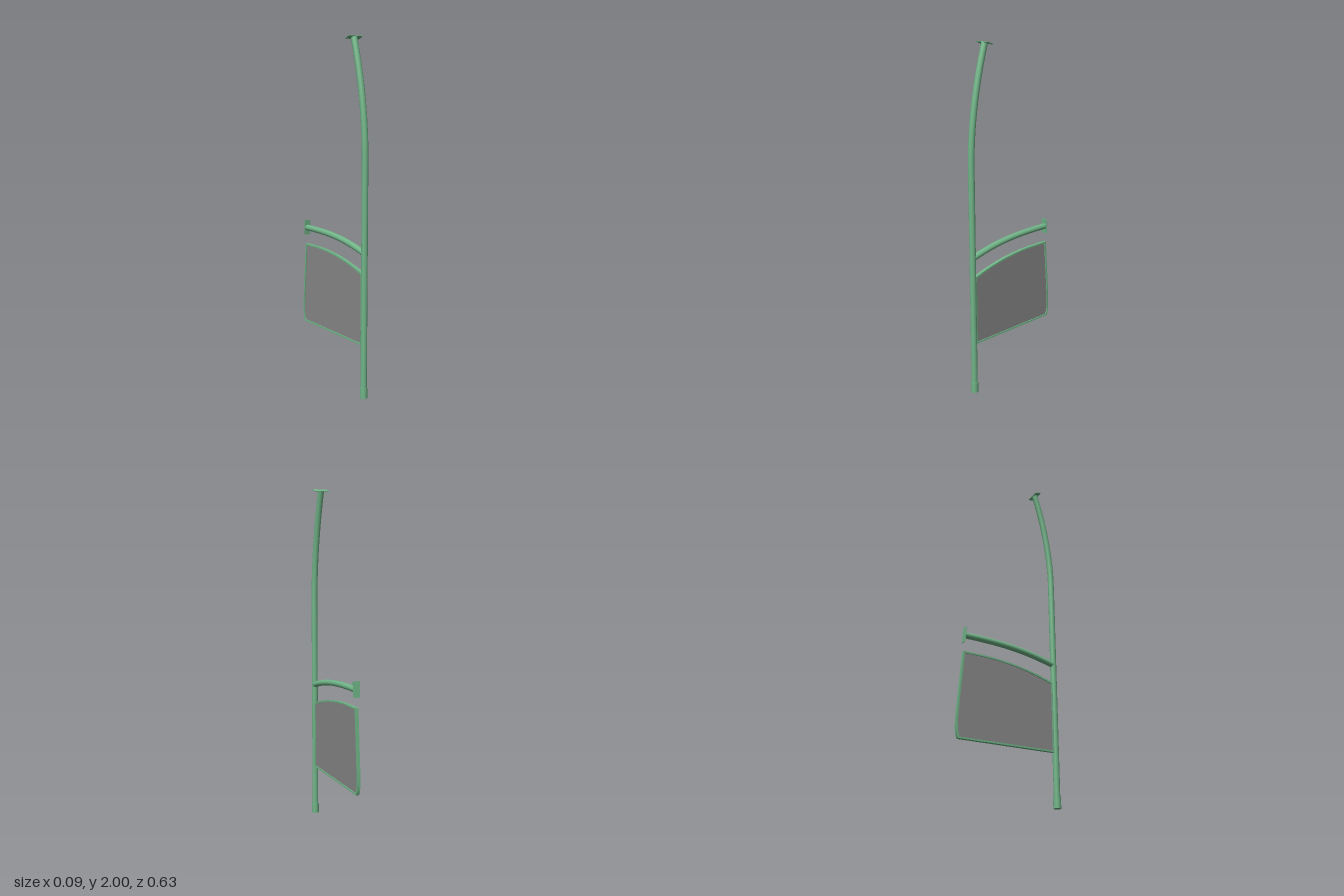
import * as THREE from 'three';

const POLE_Z = 0.295;
const POLE_R = 0.018;

export function createModel() {
  const group = new THREE.Group();
  const green = new THREE.MeshStandardMaterial({ color: 0x70b487 });
  const glass = new THREE.MeshStandardMaterial({ color: 0x888888 });

  function add(name, geometry, material = green) {
    const mesh = new THREE.Mesh(geometry, material);
    mesh.name = name;
    group.add(mesh);
    return mesh;
  }
  const v = (z, y) => new THREE.Vector3(0, y, z);

  // Upright pole: straight below, bending backwards at the top
  const bendStart = v(POLE_Z, 1.34), top = v(0.19, 1.992);
  const polePath = new THREE.CurvePath();
  polePath.add(new THREE.LineCurve3(v(POLE_Z, 0.01), bendStart));
  polePath.add(new THREE.QuadraticBezierCurve3(bendStart, v(POLE_Z, 1.65), top));
  add('pole', new THREE.TubeGeometry(polePath, 48, POLE_R, 20));

  // Foot collar
  add('footCollar', new THREE.CylinderGeometry(0.0215, 0.0215, 0.06, 24)).position.set(0, 0.03, POLE_Z);

  // Ceiling plate, square to the end of the pole
  const topPlate = add('topPlate', new THREE.BoxGeometry(0.092, 0.003, 0.042));
  topPlate.position.copy(top);
  topPlate.rotation.x = -0.31;

  // Curved handrail with its wall plate
  const railPath = new THREE.CubicBezierCurve3(
    v(POLE_Z, 0.828), v(0.12, 0.88), v(-0.03, 0.898), v(-0.281, 0.897));
  add('handrail', new THREE.TubeGeometry(railPath, 32, 0.0175, 20));
  const wallPlate = add('wallPlate', new THREE.BoxGeometry(0.042, 0.091, 0.003));
  wallPlate.position.set(0, 0.899, -0.283);
  wallPlate.rotation.x = 0.06;

  // Panel outline, drawn with shape x = -z and shape y = y; inset d narrows it
  function outline(d, Type = THREE.Shape) {
    const s = new Type();
    s.moveTo(-0.283 + d, 0.305 + d);
    s.lineTo(0.305 - d, 0.305 + d);
    s.quadraticCurveTo(0.316 - d, 0.325 + d, 0.318 - d, 0.36);
    s.quadraticCurveTo(0.32 - d, 0.42, 0.314 - d, 0.48);
    s.lineTo(0.289 - d, 0.798 - d);
    s.lineTo(0.15, 0.797 - d);
    s.quadraticCurveTo(-0.08, 0.788 - d, -0.283 + d, 0.715 - d);
    s.closePath();
    return s;
  }
  function slab(shape, width) {
    return new THREE.ExtrudeGeometry(shape, { depth: width, bevelEnabled: false, curveSegments: 16 })
      .translate(0, 0, -width / 2)
      .rotateY(Math.PI / 2);
  }

  // Thin frame around the glass pane
  const frame = outline(0);
  frame.holes.push(outline(0.009, THREE.Path));
  add('panelFrame', slab(frame, 0.02));
  add('glassPane', slab(outline(0.008), 0.008), glass);

  return group;
}
